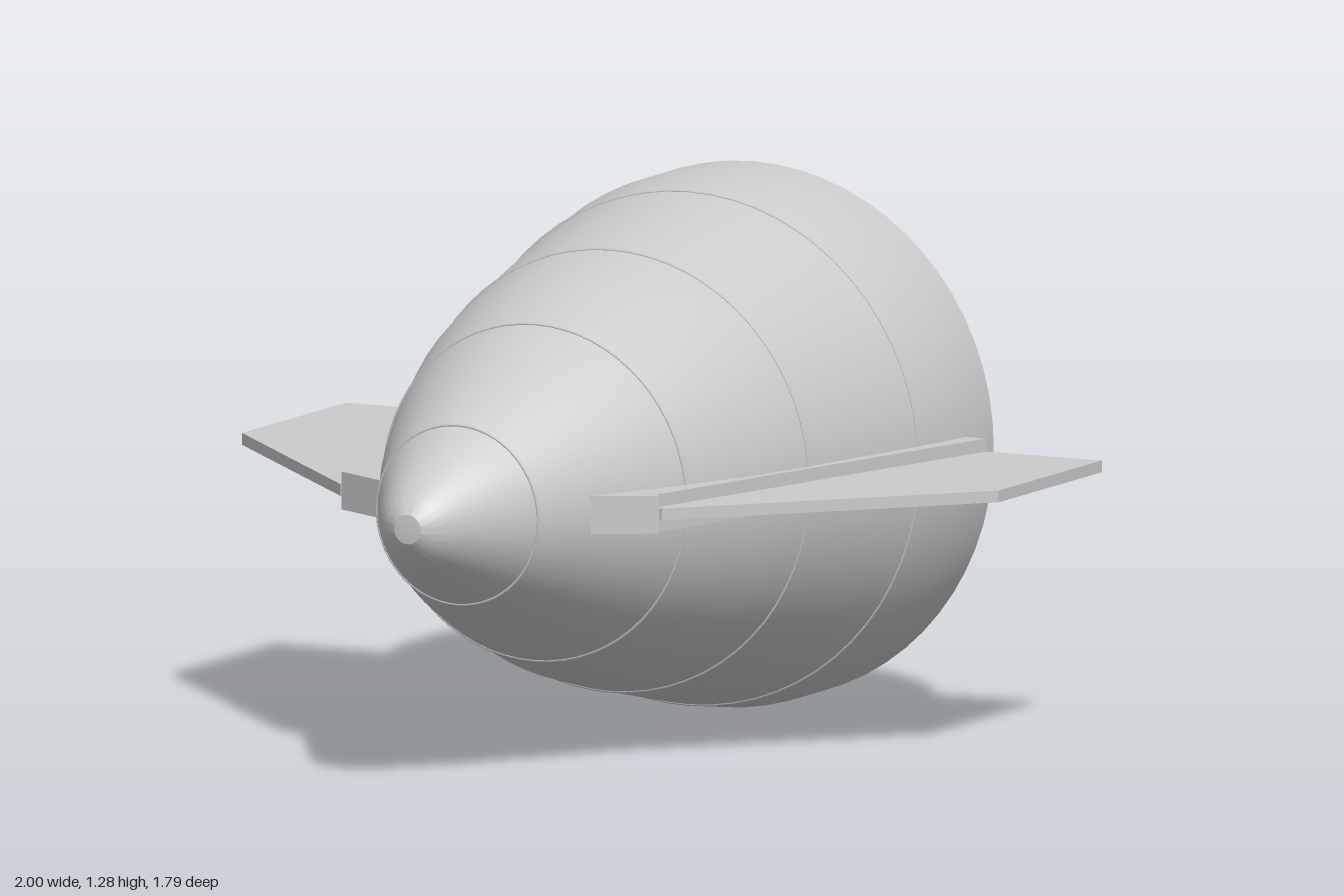
import * as THREE from 'three';
import { toCreasedNormals } from 'three/addons/utils/BufferGeometryUtils.js';

const AXIS_Y = 0.64; // height of the body's centre line

// Flat plate from an outline in (x, z), centred on the body's axis height
function plate(outline, side, thickness, material, name) {
  const shape = new THREE.Shape(outline.map(([x, z]) => new THREE.Vector2(x * side, z)));
  const geometry = new THREE.ExtrudeGeometry(shape, { depth: thickness, bevelEnabled: false });
  geometry.rotateX(Math.PI / 2);
  geometry.translate(0, AXIS_Y + thickness / 2, 0);
  const mesh = new THREE.Mesh(geometry, material);
  mesh.name = name;
  return mesh;
}

export function createModel() {
  const model = new THREE.Group();
  model.name = 'noseSection';
  const grey = new THREE.MeshStandardMaterial({ color: 0xcccccc });

  // Body of revolution: (radius, z) from the closed rear to the rounded tip
  const profile = [
    [0, -0.893], [0.638, -0.893], [0.638, -0.72], [0.61, -0.56], [0.525, -0.16],
    [0.485, 0], [0.4, 0.23], [0.33, 0.39], [0.213, 0.63], [0.103, 0.825],
    [0.068, 0.868], [0.035, 0.89], [0, 0.893],
  ].map(([r, z]) => new THREE.Vector2(r, z));
  const bodyGeometry = toCreasedNormals(new THREE.LatheGeometry(profile, 64), 0.5);
  bodyGeometry.rotateX(Math.PI / 2);
  const body = new THREE.Mesh(bodyGeometry, grey);
  body.name = 'body';
  body.position.y = AXIS_Y;
  model.add(body);

  // Thin seam rings around the body
  [[0.213, 0.63], [0.4, 0.23], [0.525, -0.16], [0.61, -0.56]].forEach(([r, z], i) => {
    const seam = new THREE.Mesh(new THREE.TorusGeometry(r, 0.004, 6, 64), grey);
    seam.name = `seamRing${i + 1}`;
    seam.position.set(0, AXIS_Y, z);
    model.add(seam);
  });

  // Mounting rail and swept fin on each side
  const rail = [[0.2, 0.49], [0.28, 0.49], [0.42, 0.41], [0.405, 0.395], [0.693, -0.745], [0.5, -0.745]];
  const fin = [[0.38, 0.395], [0.425, 0.405], [1, -0.21], [1, -0.745], [0.66, -0.745]];
  for (const [label, side] of [['left', 1], ['right', -1]]) {
    const wing = new THREE.Group();
    wing.name = `${label}Wing`;
    wing.add(plate(rail, side, 0.09, grey, `${label}Rail`));
    wing.add(plate(fin, side, 0.028, grey, `${label}Fin`));
    model.add(wing);
  }
  return model;
}
